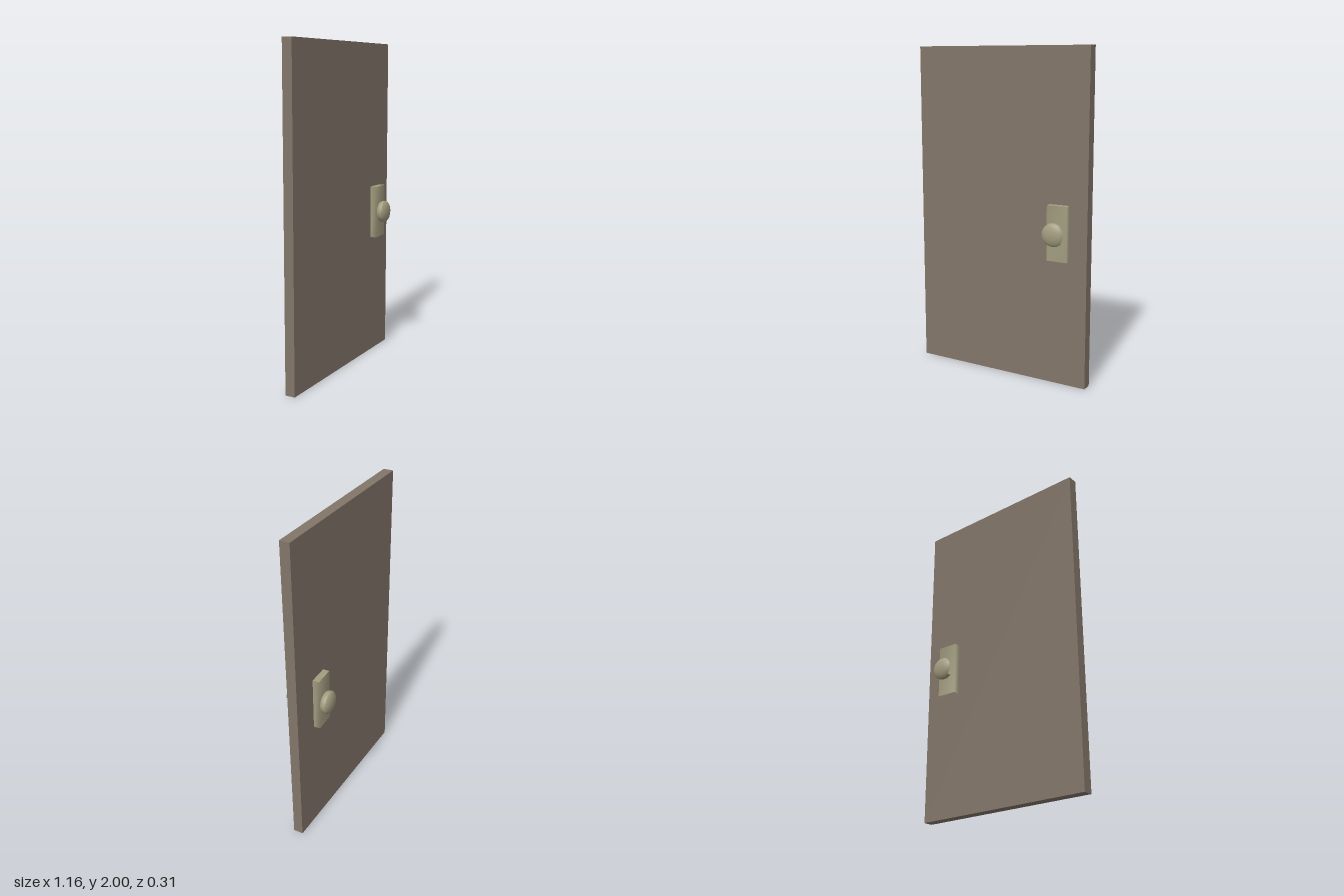
import * as THREE from 'three';
import { mergeVertices } from 'three/addons/utils/BufferGeometryUtils.js';

const wood = new THREE.MeshStandardMaterial({ color: 0x83766a });
wood.name = 'doorBrown';
const brass = new THREE.MeshStandardMaterial({ color: 0xa39d80 });
brass.name = 'dullBrass';

function add(parent, name, geometry, material, x = 0, y = 0, z = 0) {
  const mesh = new THREE.Mesh(geometry, material);
  mesh.name = name;
  mesh.position.set(x, y, z);
  parent.add(mesh);
  return mesh;
}

// Softly shaded backing plate, made of only the front and two side faces of a box
function plateShell(w, h, d) {
  const box = new THREE.BoxGeometry(w, h, d);
  const index = Array.from(box.index.array);
  box.setIndex([...index.slice(0, 12), ...index.slice(24, 30)]);
  box.deleteAttribute('normal');
  box.deleteAttribute('uv');
  const shell = mergeVertices(box);
  shell.computeVertexNormals();
  return shell;
}

// Surface of revolution about z, from [radius, z] pairs
function dome(profile, start = 0, sweep = Math.PI * 2) {
  const points = profile.map(([r, z]) => new THREE.Vector2(r, z));
  return new THREE.LatheGeometry(points, 24, start, sweep).rotateX(Math.PI / 2);
}

function createHandle(name) {
  const handle = new THREE.Group();
  handle.name = name;

  add(handle, 'plate', plateShell(0.128, 0.33, 0.04), brass, 0.012, 0.93, 0.061);
  const top = new THREE.PlaneGeometry(0.128, 0.04).rotateX(-Math.PI / 2);
  add(handle, 'plateTop', top, brass, 0.012, 1.095, 0.061);

  // Knob: a wall with an opening on one side, under a full rounded cap
  const wall = [[0.062, 0.089], [0.068, 0.1], [0.07, 0.112], [0.068, 0.122]];
  const cap = [[0.068, 0.122], [0.058, 0.131], [0.04, 0.138], [0.02, 0.142], [0, 0.143]];
  add(handle, 'knobWall', dome(wall, Math.PI * 0.75, Math.PI * 1.5), brass, 0.004, 0.93, 0);
  add(handle, 'knobCap', dome(cap), brass, 0.004, 0.93, 0);
  return handle;
}

export function createModel() {
  const model = new THREE.Group();
  model.name = 'door';

  // Door leaf, slightly ajar
  const leaf = add(model, 'doorLeaf', new THREE.BoxGeometry(1.16, 2, 0.062), wood, 0, 1, 0.0425);
  leaf.rotation.y = THREE.MathUtils.degToRad(7.65);

  // Matching handles on both faces, half a turn apart
  ['frontHandle', 'backHandle'].forEach((name, i) => {
    const handle = createHandle(name);
    handle.position.set(0.384, 0, -0.018);
    handle.rotation.y = THREE.MathUtils.degToRad(10) + i * Math.PI;
    model.add(handle);
  });
  return model;
}
